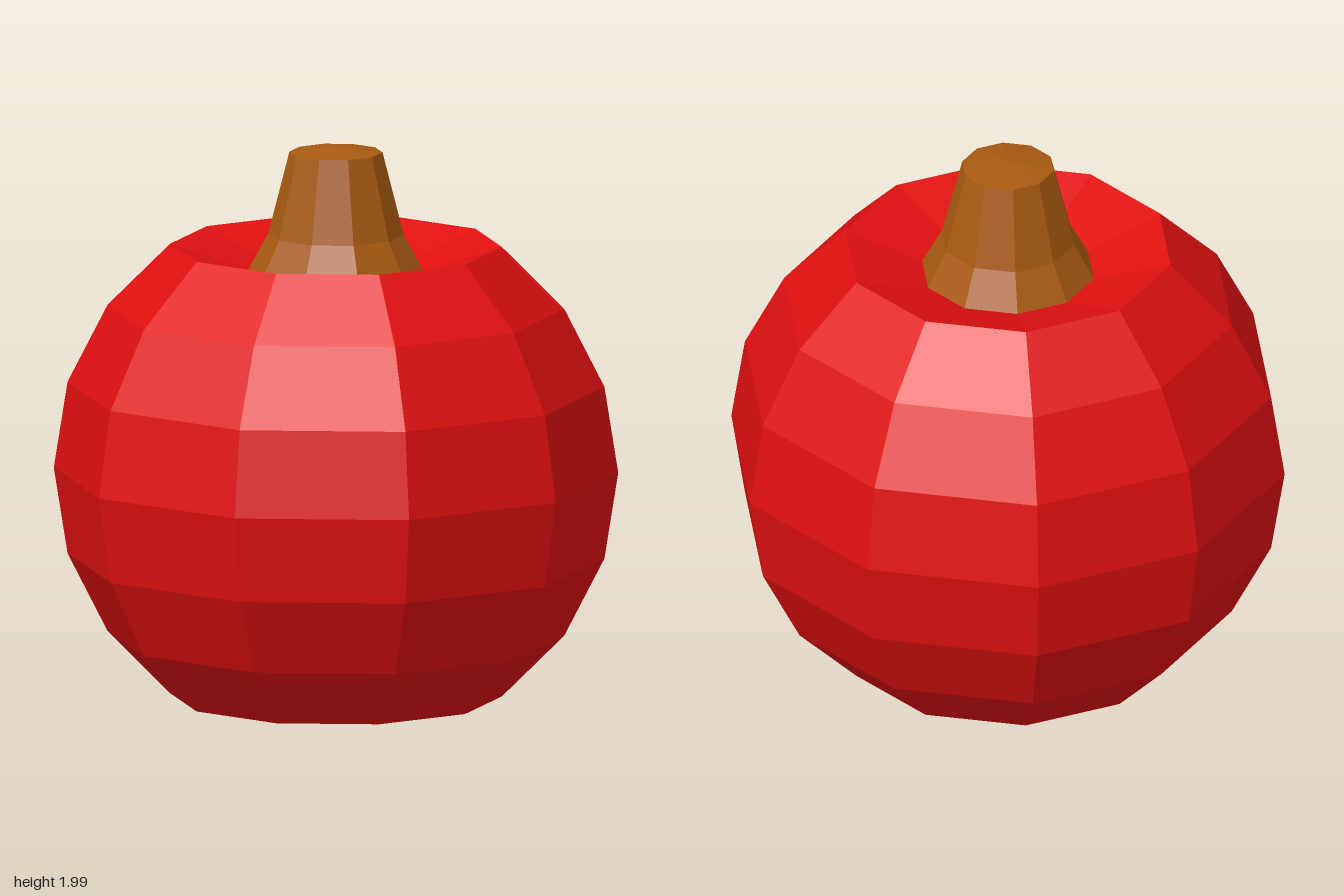
import * as THREE from 'three';

const SIDES = 10;

// Faceted solid of revolution; profile runs bottom to top as [radius, y]
function turned(name, color, profile) {
  const geometry = new THREE.LatheGeometry(
    profile.map(([r, y]) => new THREE.Vector2(r, y)), SIDES, Math.PI / 2);
  const material = new THREE.MeshStandardMaterial({ color, flatShading: true });
  const mesh = new THREE.Mesh(geometry, material);
  mesh.name = name;
  return mesh;
}

export function createModel() {
  const group = new THREE.Group();
  group.name = 'pumpkin';

  // Body: sphere rings with the areas around both poles pushed inward
  const centerY = 0.82;
  const body = [[0, 0], [0.31, 0.1]];
  for (let i = 2; i <= 8; i++) {
    const a = (i / 10) * Math.PI;
    body.push([Math.sin(a), centerY - Math.cos(a)]);
  }
  body.push([0.31, 1.54], [0, 1.54]);
  group.add(turned('body', 0xe01010, body));

  // Stem: flared foot, tapering shaft and a slightly domed top
  group.add(turned('stem', 0xa85a10, [
    [0, 1.54], [0.31, 1.54], [0.24, 1.67], [0.165, 1.965], [0, 1.99],
  ]));

  return group;
}
